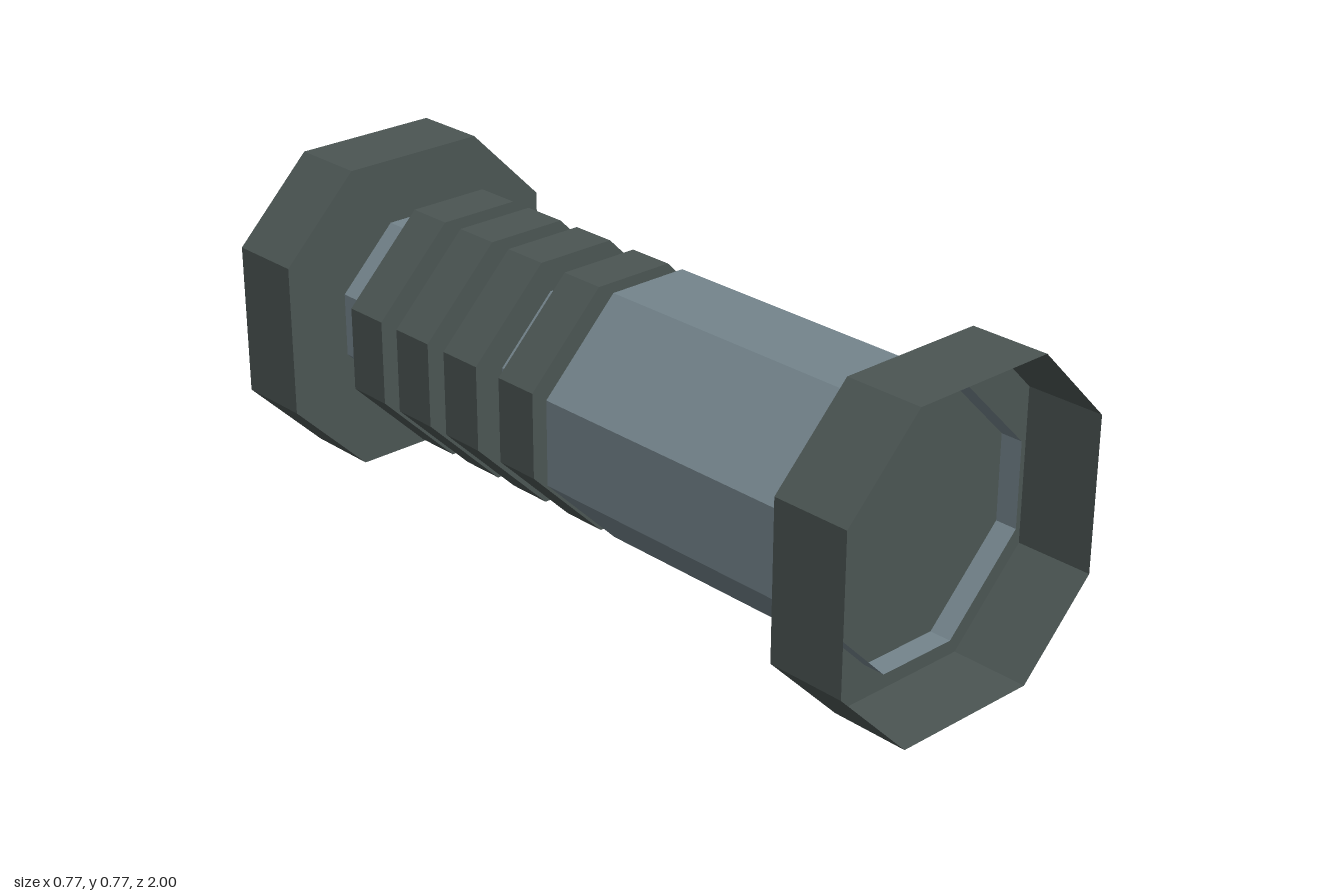
import * as THREE from 'three';

const CENTRE_Y = 0.385;

// Eight corners, counter-clockwise from +z: half = half width, edge = half length of the level sides
function octagon(half, edge) {
  return [
    [half, -edge], [half, edge], [edge, half], [-edge, half],
    [-half, edge], [-half, -edge], [-edge, -half], [edge, -half],
  ];
}

// Eight-sided prism along z from z0 (back) to z1 (front), each end open or closed
function prism(half, edge, z0, z1, frontLid = true, backLid = true) {
  const ring = octagon(half, edge);
  const positions = [];
  const tri = (...corners) => corners.forEach(([p, z]) => positions.push(p[0], p[1], z));
  for (let i = 0; i < 8; i++) {
    const a = ring[i], b = ring[(i + 1) % 8];
    tri([a, z0], [b, z0], [b, z1]);
    tri([a, z0], [b, z1], [a, z1]);
    if (i > 0 && i < 7) {
      if (frontLid) tri([ring[0], z1], [a, z1], [b, z1]);
      if (backLid) tri([ring[0], z0], [b, z0], [a, z0]);
    }
  }
  const geometry = new THREE.BufferGeometry();
  geometry.setAttribute('position', new THREE.Float32BufferAttribute(positions, 3));
  geometry.computeVertexNormals();
  return geometry;
}

export function createModel() {
  const darkMetal = new THREE.MeshStandardMaterial({ color: 0x4b5553, side: THREE.DoubleSide });
  darkMetal.name = 'darkMetal';
  const blueSteel = new THREE.MeshStandardMaterial({ color: 0x74848c, side: THREE.DoubleSide });
  blueSteel.name = 'blueSteel';

  const model = new THREE.Group();
  model.name = 'handle';
  const add = (name, geometry, material) => {
    const mesh = new THREE.Mesh(geometry, material);
    mesh.name = name;
    mesh.position.y = CENTRE_Y;
    model.add(mesh);
  };

  // End caps: the front one is a cup open to the front, the back one is solid
  add('frontCap', prism(0.385, 0.188, 0.805, 1, false, true), darkMetal);
  add('backCap', prism(0.385, 0.188, -1, -0.81), darkMetal);

  // Thick body, its open rim standing a little inside the front cup
  add('body', prism(0.302, 0.104, 0.025, 0.86, false, true), blueSteel);

  // Slim neck running through the grip rings
  add('neck', prism(0.226, 0.079, -0.81, 0.025, false, false), blueSteel);

  // Grip rings
  [-0.08, -0.275, -0.449, -0.622].forEach((z, i) => {
    add(`gripRing${i + 1}`, prism(0.302, 0.104, z - 0.058, z + 0.058), darkMetal);
  });

  return model;
}
